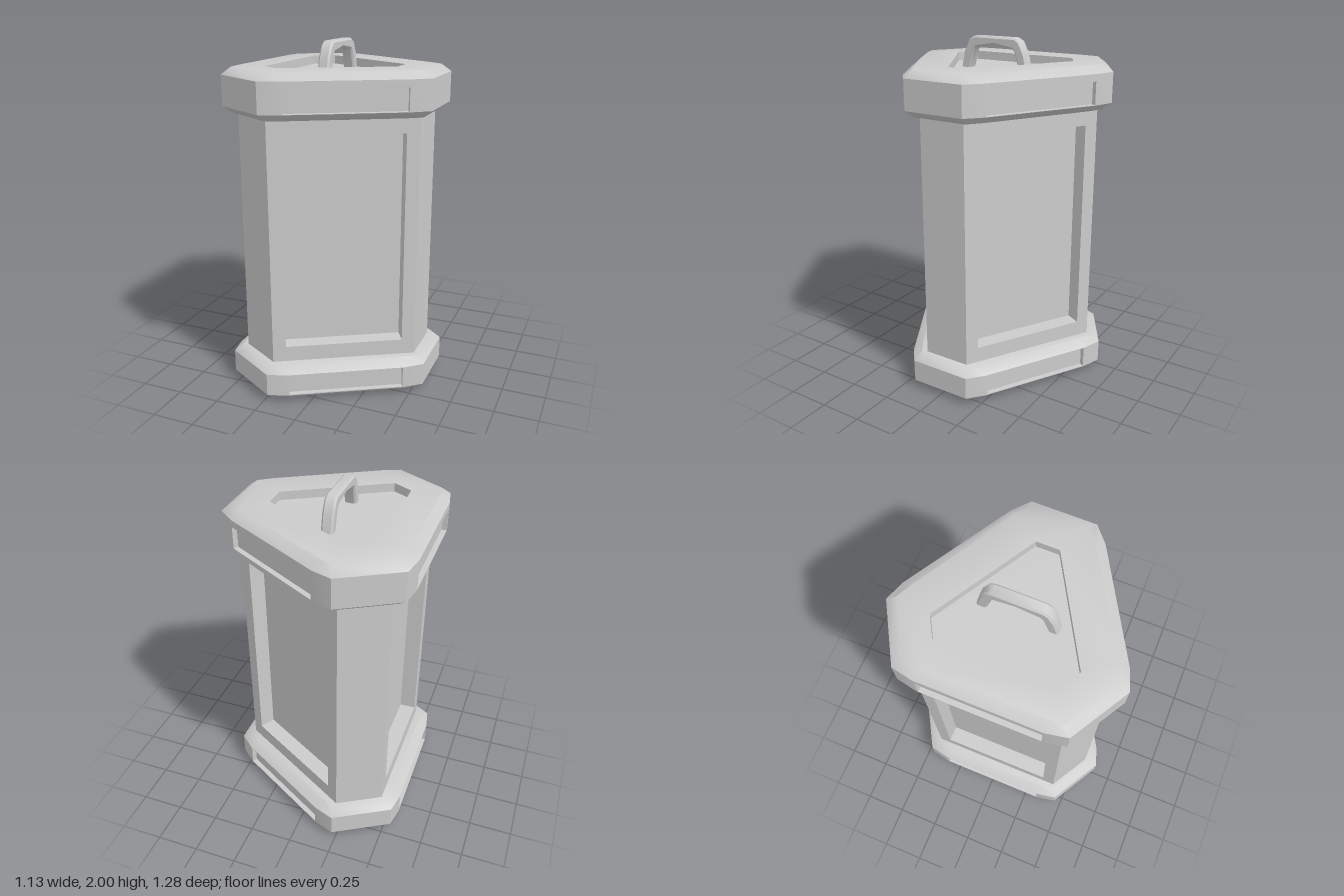
import * as THREE from 'three';
import { toCreasedNormals } from 'three/addons/utils/BufferGeometryUtils.js';

const V = (x, y, z) => new THREE.Vector3(x, y, z);
const material = new THREE.MeshStandardMaterial({ color: 0xcccccc });

// Three-cornered outline: blunt corners (distance d, half width h) and,
// if s is given, long sides (distance s, half width w).
function outline(cx, d, h, s, w) {
  const pts = [];
  for (let k = 0; k < 3; k++) {
    const add = (angle, r, t) => {
      const c = Math.cos(angle), n = Math.sin(angle);
      pts.push(new THREE.Vector2(cx + r * c - t * n, r * n + t * c));
    };
    const a = k * Math.PI * 2 / 3;
    add(a, d, -h);
    add(a, d, h);
    if (s) {
      add(a + Math.PI / 3, s, -w);
      add(a + Math.PI / 3, s, w);
    }
  }
  return pts;
}

// Collects quads and flat caps into one geometry.
class Surface {
  constructor() { this.pos = []; }
  quad(a, b, c, d) {
    for (const p of [a, b, c, a, c, d]) this.pos.push(p.x, p.y, p.z);
  }
  // Band between two outlines; skip(i) leaves an edge out
  band(lo, y0, hi, y1, skip = () => false) {
    const n = lo.length;
    for (let i = 0; i < n; i++) {
      if (skip(i)) continue;
      const j = (i + 1) % n;
      this.quad(V(lo[i].x, y0, lo[i].y), V(hi[i].x, y1, hi[i].y),
        V(hi[j].x, y1, hi[j].y), V(lo[j].x, y0, lo[j].y));
    }
  }
  // Horizontal face, with an optional hole
  cap(pts, y, up, hole) {
    const flat = (l) => l.map((p) => new THREE.Vector2(p.x, up ? -p.y : p.y));
    const shape = new THREE.Shape(flat(pts));
    if (hole) shape.holes.push(new THREE.Path(flat(hole)));
    const g = new THREE.ShapeGeometry(shape).toNonIndexed();
    g.rotateX(up ? -Math.PI / 2 : Math.PI / 2).translate(0, y, 0);
    for (const v of g.attributes.position.array) this.pos.push(v);
  }
  // Upright wall from p to q with a recessed rectangular panel
  panelWall(p, q, y0, y1, half, v0, v1, depth) {
    const mid = p.clone().add(q).multiplyScalar(0.5);
    const dir = q.clone().sub(p).normalize();
    const len = p.distanceTo(q) / 2;
    const rect = (w, a, b, inset) => [[-w, a], [-w, b], [w, b], [w, a]].map(([t, y]) =>
      V(mid.x + dir.x * t - dir.y * inset, y, mid.y + dir.y * t + dir.x * inset));
    const outer = rect(len, y0, y1, 0);
    const rim = rect(half, v0, v1, 0);
    const floor = rect(half, v0, v1, depth);
    for (let i = 0; i < 4; i++) {
      const j = (i + 1) % 4;
      this.quad(outer[i], outer[j], rim[j], rim[i]);
      this.quad(rim[i], rim[j], floor[j], floor[i]);
    }
    this.quad(...floor);
  }
  mesh(name) {
    const g = new THREE.BufferGeometry();
    g.setAttribute('position', new THREE.Float32BufferAttribute(this.pos, 3));
    const m = new THREE.Mesh(toCreasedNormals(g, 0.7), material);
    m.name = name;
    return m;
  }
}

const CX = -0.07;

// Chamfered collar with a recessed panel on each long side
function collar(name, y0, y1, panelLow, panelHigh, hole) {
  const s = new Surface();
  const wide = outline(CX, 0.633, 0.182, 0.497, 0.338);
  const narrow = outline(CX, 0.58, 0.165, 0.445, 0.32);
  const a = y0 + 0.04, b = y1 - 0.04;
  const longSide = (i) => i % 4 === 2;
  s.cap(narrow, y0, false);
  s.band(narrow, y0, wide, a);
  s.band(wide, a, wide, b, longSide);
  for (let i = 2; i < 12; i += 4) {
    s.panelWall(wide[i], wide[i + 1], a, b, 0.33, panelLow, panelHigh, 0.03);
  }
  s.band(wide, b, narrow, y1);
  s.cap(narrow, y1, true, hole);
  if (hole) {
    // Sunken well in the top
    const well = y1 - 0.05;
    s.band(hole, y1, hole, well);
    s.cap(hole, well, true);
  }
  return s.mesh(name);
}

// Body with a deep panel on each long side
function body() {
  const s = new Surface();
  const hex = outline(CX, 0.56, 0.14);
  const y0 = 0.2, y1 = 1.63;
  s.band(hex, y0, hex, y1, (i) => i % 2 === 1);
  for (let i = 1; i < 6; i += 2) {
    s.panelWall(hex[i], hex[(i + 1) % 6], y0, y1, 0.34, 0.3, 1.53, 0.095);
  }
  return s.mesh('body');
}

// Arched carrying handle with bevelled edges
function handle() {
  const half = [[0.21, 1.82], [0.19, 1.91], [0.157, 1.975], [0.13, 1.99]];
  const inner = [[0, 1.967], [0.122, 1.948], [0.14, 1.93], [0.172, 1.82]];
  const right = [...half.slice().reverse(), ...inner.slice().reverse()];
  const left = [...inner.slice(1), ...half].map(([x, y]) => [-x, y]);
  const shape = new THREE.Shape([...right, ...left].map(([x, y]) => new THREE.Vector2(x, y)));
  const g = new THREE.ExtrudeGeometry(shape, {
    depth: 0.046, bevelEnabled: true, bevelSegments: 1, bevelSize: 0.01, bevelThickness: 0.01,
  });
  g.translate(0, 0, -0.023).rotateY(Math.PI / 2).translate(-0.05, 0, 0);
  const m = new THREE.Mesh(toCreasedNormals(g, 0.7), material);
  m.name = 'handle';
  return m;
}

export function createModel() {
  const group = new THREE.Group();
  group.name = 'canister';
  group.add(
    collar('base', 0, 0.21, 0.045, 0.168),
    body(),
    collar('lid', 1.62, 1.87, 1.662, 1.79, outline(-0.085, 0.415, 0.065)),
    handle(),
  );
  return group;
}
